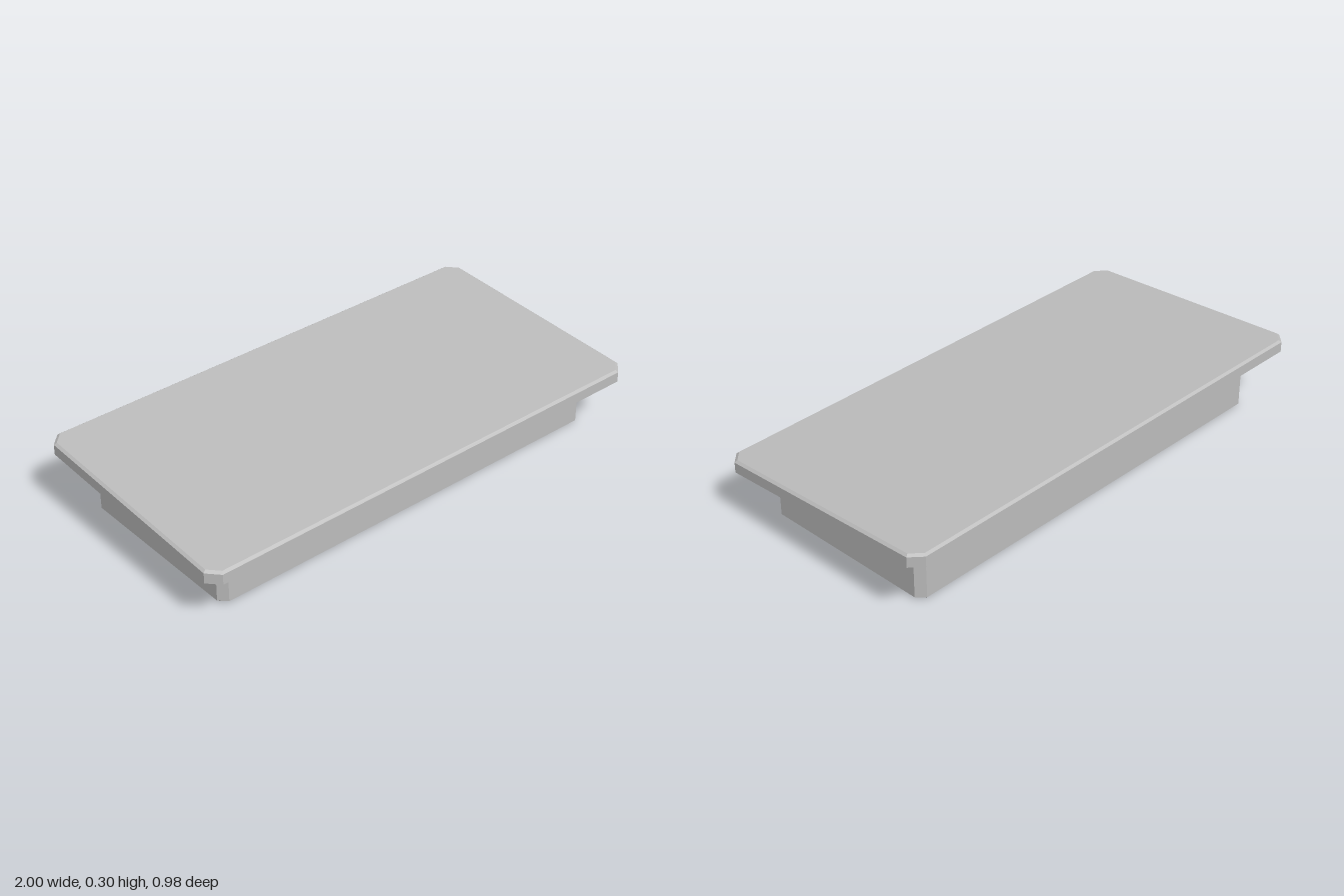
import * as THREE from 'three';

// Rectangle with cut corners, listed counter-clockwise seen from above
function ring(w, d, cut, y, slope) {
  const pts = [
    [w, d - cut], [w, -d + cut], [w - cut, -d], [-w + cut, -d],
    [-w, -d + cut], [-w, d - cut], [-w + cut, d], [w - cut, d],
  ];
  return pts.map(([x, z]) => new THREE.Vector3(x, y - slope * z, z));
}

// Closed solid through a stack of rings, bottom to top
function loft(rings) {
  const pos = [];
  const tri = (...v) => v.forEach((p) => pos.push(p.x, p.y, p.z));
  const n = rings[0].length;
  for (let r = 0; r < rings.length - 1; r++) {
    const lo = rings[r], hi = rings[r + 1];
    for (let i = 0; i < n; i++) {
      const j = (i + 1) % n;
      tri(lo[i], lo[j], hi[j]);
      tri(lo[i], hi[j], hi[i]);
    }
  }
  const bottom = rings[0], top = rings[rings.length - 1];
  for (let i = 1; i < n - 1; i++) {
    tri(bottom[0], bottom[i + 1], bottom[i]);
    tri(top[0], top[i], top[i + 1]);
  }
  const g = new THREE.BufferGeometry();
  g.setAttribute('position', new THREE.Float32BufferAttribute(pos, 3));
  g.computeVertexNormals();
  return g;
}

export function createModel() {
  const group = new THREE.Group();
  const grey = new THREE.MeshStandardMaterial({ color: 0xbcbcbc });
  grey.name = 'grey';
  const add = (name, rings) => {
    const mesh = new THREE.Mesh(loft(rings), grey);
    mesh.name = name;
    group.add(mesh);
  };
  const slope = 0.051;

  // Upright base with a small bevel around its foot
  add('base', [
    ring(0.877, 0.372, 0.027, 0, 0),
    ring(0.885, 0.38, 0.03, 0.008, 0),
    ring(0.885, 0.38, 0.03, 0.23, slope),
  ]);

  // Sloping slab with bevelled upper and lower rims
  add('topSlab', [
    ring(0.99, 0.48, 0.04, 0.218, slope),
    ring(1, 0.49, 0.045, 0.225, slope),
    ring(1, 0.49, 0.045, 0.267, slope),
    ring(0.99, 0.48, 0.04, 0.275, slope),
  ]);
  return group;
}
